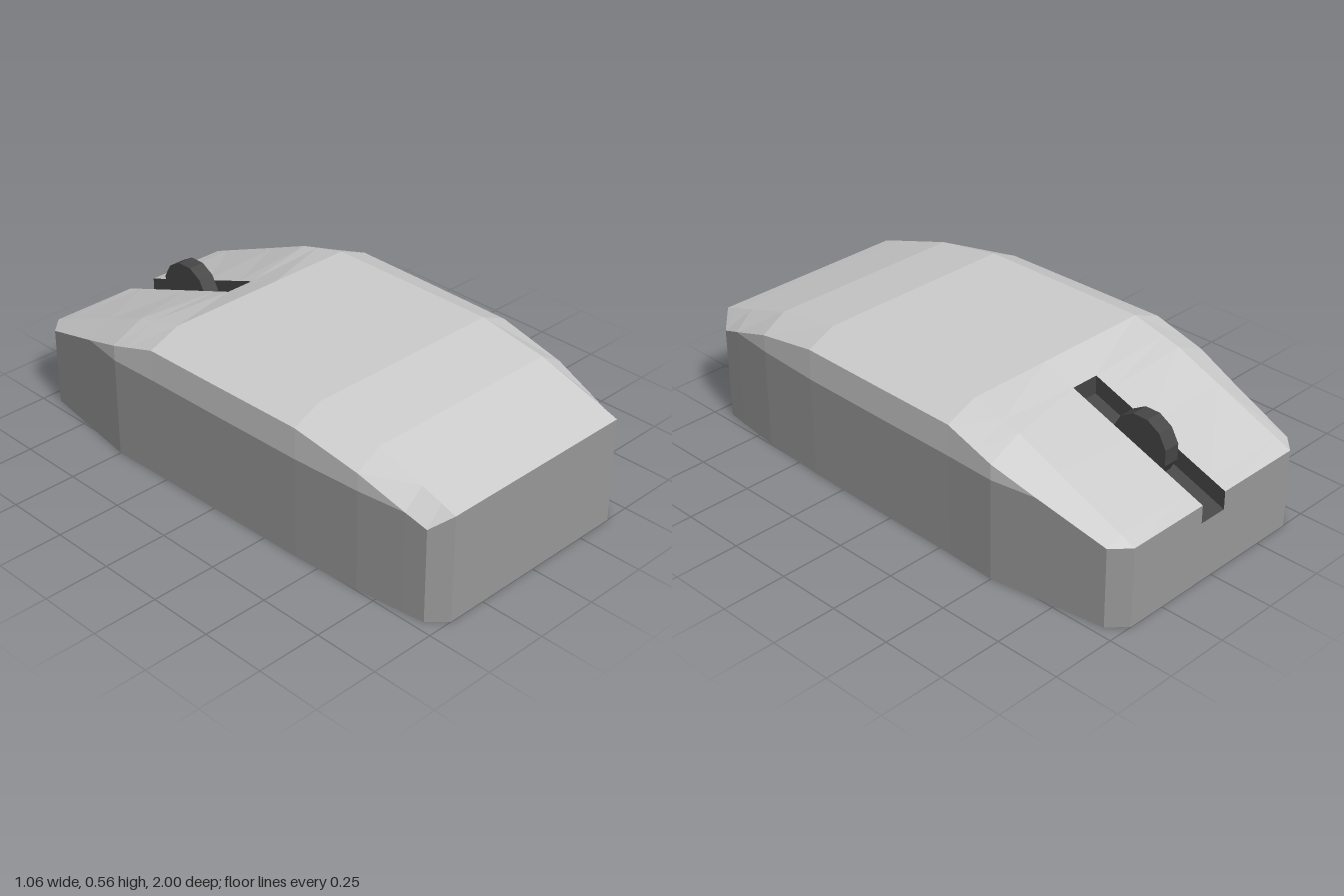
import * as THREE from 'three';

const paint = (name, color) => {
  const m = new THREE.MeshStandardMaterial({ color });
  m.name = name;
  return m;
};

// Body stations along z: z, half width, shoulder height, deck height, colour line on the side
const STATIONS = [
  [-1, 0.4, 0.305, 0.305, 0.305],
  [-0.94, 0.463, 0.305, 0.33, 0.305],
  [-0.675, 0.503, 0.39, 0.438, 0.39],
  [-0.5, 0.53, 0.45, 0.51, 0.39],
  [-0.43, 0.528, 0.471, 0.528, 0.39],
  [-0.3, 0.524, 0.51, 0.56, 0.39],
  [0, 0.52, 0.51, 0.56, 0.39],
  [0.4, 0.513, 0.51, 0.56, 0.39],
  [0.67, 0.497, 0.457, 0.515, 0.39],
  [0.857, 0.475, 0.39, 0.456, 0.39],
  [0.94, 0.463, 0.36, 0.43, 0.36],
  [1, 0.4, 0.41, 0.41, 0.41],
].map(([z, w, edge, top, split]) => ({ z, w, edge, top, split }));

const DECK = 0.4;               // half width of the flat deck
const SLOT = [-0.05, 0.065];    // slot sides in x
const SLOT_END = -0.43;
const SLOT_DEPTH = 0.07;

// Deck height beside the slot: the buttons dip slightly towards it
const innerTop = (s) => (s.z <= SLOT_END ? 0.305 + 0.36 * (s.z + 1) : s.top);

// Collects four-cornered faces, counter-clockwise from outside
class Faces {
  constructor() { this.p = []; }
  quad(a, b, c, d, flip = false) {
    const [q, r, s, t] = flip ? [d, c, b, a] : [a, b, c, d];
    for (const v of [q, r, s, q, s, t]) this.p.push(...v);
  }
  mesh(name, material) {
    const g = new THREE.BufferGeometry();
    g.setAttribute('position', new THREE.Float32BufferAttribute(this.p, 3));
    g.computeVertexNormals();
    const m = new THREE.Mesh(g, material);
    m.name = name;
    return m;
  }
}

export function createModel() {
  const light = paint('light grey', 0xcccccc);
  const mid = paint('mid grey', 0x999999);
  const dark = paint('dark grey', 0x464646);

  const shell = new Faces(), wall = new Faces(), base = new Faces(), slot = new Faces();

  for (let i = 0; i < STATIONS.length - 1; i++) {
    const a = STATIONS[i], b = STATIONS[i + 1];

    // Side walls, upper side bands and bevels, mirrored
    for (const s of [1, -1]) {
      const strip = (faces, lo, hi) => {
        const at = (st, [x, y]) => [s * x, y, st.z];
        faces.quad(at(b, lo(b)), at(a, lo(a)), at(a, hi(a)), at(b, hi(b)), s < 0);
      };
      const split = (t) => [t.w, t.split], edge = (t) => [t.w, t.edge];
      strip(wall, (t) => [t.w, 0], split);
      if (a.edge > a.split || b.edge > b.split) strip(shell, split, edge);
      strip(shell, edge, (t) => [DECK, t.top]);
    }

    // Deck, left open where the slot runs
    const cols = [[-DECK, (t) => t.top], [SLOT[0], innerTop], [SLOT[1], innerTop], [DECK, (t) => t.top]];
    const open = b.z <= SLOT_END;
    for (let c = 0; c < 3; c++) {
      if (open && c === 1) continue;
      const [x0, h0] = cols[c], [x1, h1] = cols[c + 1];
      shell.quad([x0, h0(b), b.z], [x1, h1(b), b.z], [x1, h1(a), a.z], [x0, h0(a), a.z]);
    }

    // Slot floor and walls
    if (open) {
      const [x0, x1] = SLOT;
      const ya = innerTop(a), yb = innerTop(b), fa = ya - SLOT_DEPTH, fb = yb - SLOT_DEPTH;
      slot.quad([x0, fb, b.z], [x1, fb, b.z], [x1, fa, a.z], [x0, fa, a.z]);
      SLOT.forEach((x, k) =>
        slot.quad([x, fb, b.z], [x, fa, a.z], [x, ya, a.z], [x, yb, b.z], k === 1));
    }

    // Underside
    base.quad([-a.w, 0, a.z], [a.w, 0, a.z], [b.w, 0, b.z], [-b.w, 0, b.z]);
  }

  // Slot end wall
  const endTop = innerTop({ z: SLOT_END });
  const endFloor = endTop - SLOT_DEPTH;
  slot.quad([SLOT[1], endFloor, SLOT_END], [SLOT[0], endFloor, SLOT_END],
    [SLOT[0], endTop, SLOT_END], [SLOT[1], endTop, SLOT_END]);

  // End walls: plain at +z, notched by the slot at -z
  wall.quad([-DECK, 0, 1], [DECK, 0, 1], [DECK, 0.41, 1], [-DECK, 0.41, 1]);
  for (const [x0, x1, h] of [[-DECK, SLOT[0], 0.305], [SLOT[0], SLOT[1], 0.305 - SLOT_DEPTH], [SLOT[1], DECK, 0.305]]) {
    wall.quad([x1, 0, -1], [x0, 0, -1], [x0, h, -1], [x1, h, -1]);
  }

  // Scroll wheel
  const wheelMaterial = dark;
  const wheelGeometry = new THREE.CylinderGeometry(0.117, 0.117, 0.064, 12)
    .rotateY(Math.PI / 12).rotateZ(Math.PI / 2).toNonIndexed();
  wheelGeometry.computeVertexNormals();
  const wheel = new THREE.Mesh(wheelGeometry, wheelMaterial);
  wheel.name = 'scrollWheel';
  wheel.position.set(0.01, 0.391, -0.705);

  const group = new THREE.Group();
  group.name = 'computerMouse';
  group.add(
    shell.mesh('topShell', light),
    wall.mesh('sideWalls', mid),
    base.mesh('underside', dark),
    slot.mesh('wheelSlot', dark),
    wheel,
  );
  return group;
}
